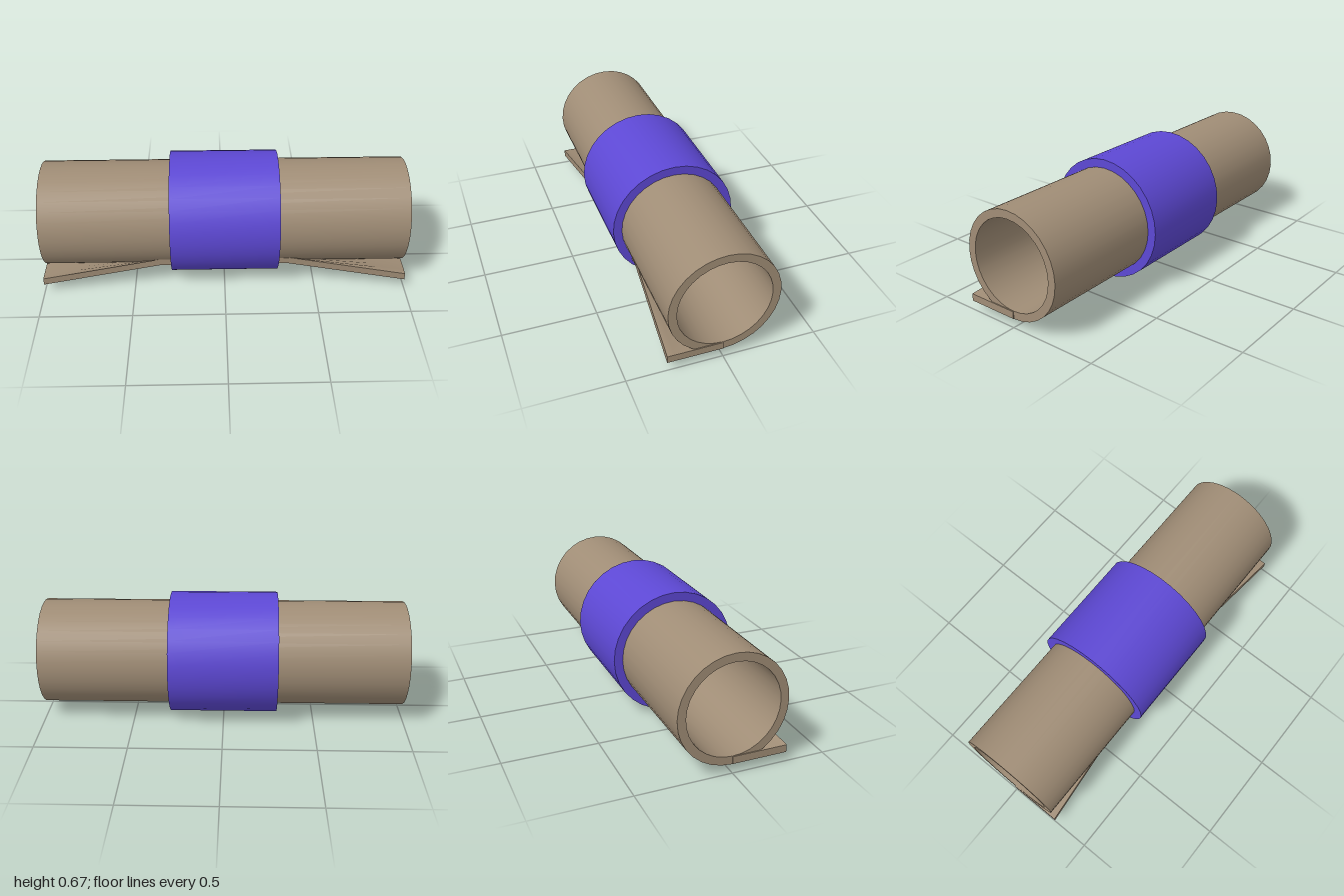
import * as THREE from 'three';
import { toCreasedNormals } from 'three/addons/utils/BufferGeometryUtils.js';

const AXIS_Y = 0.336;

// Hollow cylinder lying along x, with sharp rims and smooth walls
function ring(name, inner, outer, halfLength, material) {
  const profile = [
    [inner, -halfLength], [outer, -halfLength], [outer, halfLength],
    [inner, halfLength], [inner, -halfLength],
  ].map(([r, y]) => new THREE.Vector2(r, y));
  const geometry = toCreasedNormals(new THREE.LatheGeometry(profile, 32), 0.6);
  geometry.rotateZ(-Math.PI / 2);
  const mesh = new THREE.Mesh(geometry, material);
  mesh.name = name;
  mesh.position.y = AXIS_Y;
  return mesh;
}

// Thin sheet, flat at both ends and curling up around the tube in the middle
function looseFlap(material) {
  const geometry = new THREE.BoxGeometry(2, 0.04, 1, 3, 1, 8);
  const p = geometry.attributes.position;
  for (let i = 0; i < p.count; i++) {
    const atEnd = Math.abs(p.getX(i)) > 0.9;
    const s = p.getZ(i) + 0.5; // 0 at the seam, 1 at the free edge
    const width = atEnd ? 0.291 : 0.237;
    const lift = atEnd ? 0 : 0.084 * s * s;
    p.setXYZ(i, Math.sign(p.getX(i)) * (atEnd ? 1 : 0.35), 0.07 + p.getY(i) + lift, s * width);
  }
  const mesh = new THREE.Mesh(toCreasedNormals(geometry, 0.6), material);
  mesh.name = 'looseFlap';
  return mesh;
}

export function createModel() {
  const paper = new THREE.MeshStandardMaterial({ color: 0xa08d76 });
  paper.name = 'tan paper';
  const band = new THREE.MeshStandardMaterial({ color: 0x5d48d4 });
  band.name = 'violet band';

  const model = new THREE.Group();
  model.name = 'bandedScroll';
  model.add(
    ring('rolledTube', 0.245, 0.289, 0.995, paper),
    ring('sleeve', 0.285, 0.336, 0.294, band),
    looseFlap(paper),
  );
  return model;
}
